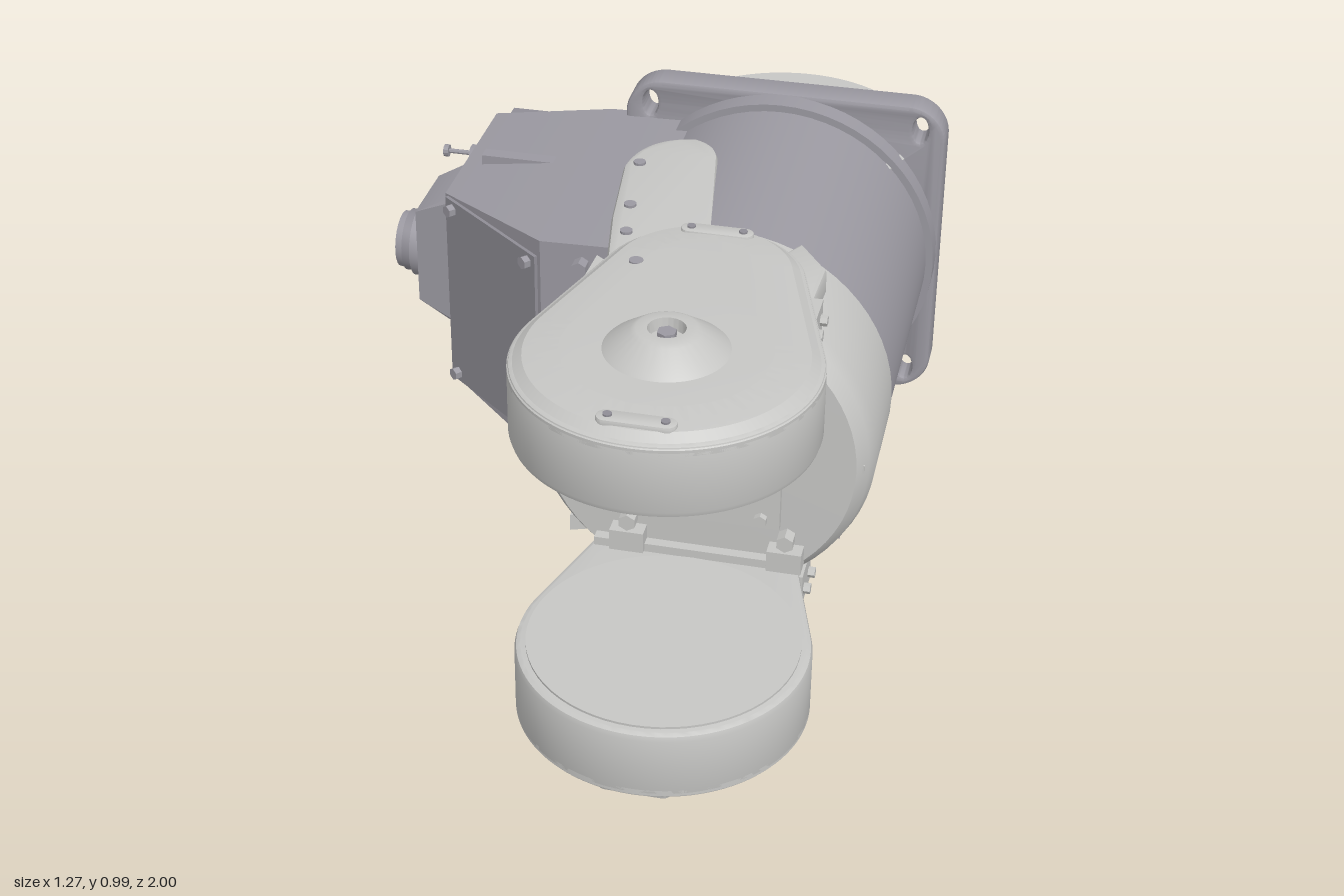
import * as THREE from 'three';
import { toCreasedNormals } from 'three/addons/utils/BufferGeometryUtils.js';
import { ConvexGeometry } from 'three/addons/geometries/ConvexGeometry.js';

const CX = 0.245, CY = 0.5; // axis of the main barrel

export function createModel() {
  const root = new THREE.Group();
  const mat = (name, color) => {
    const m = new THREE.MeshStandardMaterial({ color });
    m.name = name;
    return m;
  };
  const light = mat('light grey', 0xc6c6c4);
  const body = mat('mid grey', 0x9b99a1);
  const panel = mat('panel grey', 0x8f8d95);

  const add = (name, geo, m) => {
    const mesh = new THREE.Mesh(toCreasedNormals(geo, 0.5), m);
    mesh.name = name;
    root.add(mesh);
    return mesh;
  };
  const box = (name, m, w, h, d, x, y, z) =>
    add(name, new THREE.BoxGeometry(w, h, d).translate(x, y, z), m);
  // cylinder along an axis, r1 at the positive end
  const cyl = (name, m, axis, r1, r2, len, x, y, z, seg = 32) => {
    const g = new THREE.CylinderGeometry(r1, r2, len, seg);
    if (axis === 'z') g.rotateX(Math.PI / 2);
    if (axis === 'x') g.rotateZ(-Math.PI / 2);
    return add(name, g.translate(x, y, z), m);
  };
  // solid of revolution along z (or y), points are [radius, position]
  const lathe = (name, m, pts, x, y, z, alongY) => {
    const g = new THREE.LatheGeometry(pts.map(p => new THREE.Vector2(...p)), 64);
    if (!alongY) g.rotateX(Math.PI / 2);
    return add(name, g.translate(x, y, z), m);
  };
  // extrusion between two depths, with an inward bevel
  const extrude = (shape, a, b, size, thick) => {
    const lo = Math.min(a, b), hi = Math.max(a, b);
    return new THREE.ExtrudeGeometry(shape, {
      depth: hi - lo - 2 * thick, bevelEnabled: size > 0, bevelSize: size, bevelOffset: -size,
      bevelThickness: thick, bevelSegments: 2, curveSegments: 32,
    }).translate(0, 0, lo + thick);
  };
  // horizontal slab from an (x, z) outline
  const slab = (name, m, shape, ya, yb, size = 0, thick = 0) =>
    add(name, extrude(shape, -ya, -yb, size, thick).rotateX(Math.PI / 2), m);
  const poly = pts => new THREE.Shape(pts.map(p => new THREE.Vector2(...p)));
  const stadium = (x, z, w, r) => {
    const s = new THREE.Shape();
    s.absarc(x + w / 2 - r, z, r, -Math.PI / 2, Math.PI / 2);
    s.absarc(x - w / 2 + r, z, r, Math.PI / 2, Math.PI * 1.5);
    return s;
  };

  // main barrel: dark rear and light front
  lathe('barrel', body, [[0, -0.66], [0.365, -0.66], [0.365, 0.08], [0, 0.08]], CX, CY, 0);
  lathe('barrelFront', light,
    [[0, 0.07], [0.37, 0.07], [0.372, 0.31], [0.362, 0.345], [0.34, 0.375], [0, 0.38]], CX, CY, 0);
  cyl('flangeCollar', body, 'z', 0.382, 0.382, 0.08, CX, CY, -0.575, 64);

  // square mounting flange with slotted corners
  const flange = new THREE.Shape();
  const H = 0.385, R = 0.09, T = Math.PI / 2;
  for (let i = 0; i < 4; i++) {
    const sx = i === 0 || i === 3 ? 1 : -1, sy = i < 2 ? 1 : -1;
    flange.absarc(CX + sx * (H - R), CY + sy * (H - R), R, i * T, (i + 1) * T);
    const hole = new THREE.Path();
    hole.absellipse(CX + sx * 0.325, CY + sy * 0.325, 0.018, 0.032, 0, Math.PI * 2, true);
    flange.holes.push(hole);
  }
  add('flange', extrude(flange, -0.67, -0.59, 0.01, 0.01), body);
  cyl('rearNeck', body, 'z', 0.28, 0.28, 0.06, CX, CY, -0.68, 48);

  // rear rounded housing, with a wider band round its middle
  lathe('rearHousing', light,
    [[0, 0.245], [0.3, 0.245], [0.31, 0.255], [0.31, 0.75], [0.3, 0.76], [0, 0.76]], CX - 0.005, 0, -0.68, true);
  const bulge = new THREE.Shape();
  bulge.moveTo(0.45, -0.67);
  bulge.lineTo(-0.145, -0.67);
  bulge.bezierCurveTo(-0.145, -0.87, 0.0, -1, 0.22, -1);
  bulge.quadraticCurveTo(0.34, -1, 0.4, -0.95);
  slab('rearBulge', light, bulge, 0.3, 0.7, 0.03, 0.05);

  // pair of fork arms, mirrored about mid height
  const armOutline = new THREE.Shape();
  const tilt = Math.asin(0.095 / 0.33);
  armOutline.absarc(CX, 0.69, 0.308, -tilt, Math.PI + tilt);
  armOutline.absarc(CX, 0.36, 0.213, Math.PI + tilt, 2 * Math.PI - tilt);
  const tongue = new THREE.Shape();
  tongue.moveTo(0.03, 0.32);
  tongue.lineTo(-0.02, 0.05);
  tongue.lineTo(-0.05, -0.19);
  tongue.quadraticCurveTo(-0.04, -0.34, 0.08, -0.36);
  tongue.quadraticCurveTo(0.14, -0.34, 0.15, -0.27);
  tongue.lineTo(0.23, 0.2);
  tongue.lineTo(0.23, 0.32);
  for (const s of [1, -1]) {
    const Y = v => CY + s * (v - CY);
    const side = s > 0 ? 'upper' : 'lower';
    slab(side + 'Arm', light, armOutline, Y(0.76), Y(0.922), 0.012, 0.015);
    slab(side + 'ArmCrown', light, armOutline, Y(0.868), Y(0.945), 0.1, 0.032);
    cyl(side + 'ArmPad', light, 'y', 0.285, 0.285, 0.02, CX, Y(0.765), 0.69, 64);
    slab(side + 'ArmRoot', light, tongue, Y(0.74), Y(0.866), 0.015, 0.015);
    slab(side + 'ArmWing', light, poly([[0.32, 0.3], [0.33, 0.17], [0.4, 0.05], [0.47, 0.15], [0.465, 0.3]]),
      Y(0.75), Y(0.85), 0.01, 0.01);
    slab(side + 'ArmTab', light, poly([[-0.04, 0.1], [0.06, 0.18], [0.06, 0.28], [-0.05, 0.32]]), Y(0.75), Y(0.79));
    box(side + 'HingeBlock', light, 0.08, 0.08, 0.11, 0.445, Y(0.815), 0.34);
    box(side + 'HingeBar', light, 0.38, 0.02, 0.12, 0.215, Y(0.75), 0.34);
    for (const z of [0.31, 0.37]) cyl('hingeBolt', light, 'x', 0.012, 0.012, 0.02, 0.49, Y(0.82), z, 6);
    for (const z of [0.205, 0.945]) {
      slab(side + 'ArmHandle', light, stadium(CX, z, 0.155, 0.02), Y(0.92), Y(0.945), 0.004, 0.004);
      for (const x of [-0.055, 0.055]) cyl('handleScrew', panel, 'y', 0.009, 0.009, 0.008, CX + x, Y(0.945), z, 12);
    }
    cyl('armPlug', body, 'y', 0.015, 0.015, 0.008, 0.11, Y(0.942), 0.37, 16);
    for (const x of [-0.06, 0.06]) cyl('armEndScrew', panel, 'z', 0.009, 0.009, 0.01, CX + x, Y(0.845), 0.985, 12);
    for (const [x, z] of [[-0.015, -0.2], [0.01, 0], [0.03, 0.12]])
      cyl('rootScrew', body, 'y', 0.014, 0.014, 0.012, x, Y(0.866), z, 12);
  }
  lathe('armBoss', light, [[0.135, 0.935], [0.12, 0.95], [0.07, 0.985], [0.06, 0.99], [0.038, 0.99], [0.035, 0.965], [0, 0.965]],
    CX, 0, 0.69, true);
  cyl('bossBolt', body, 'y', 0.02, 0.02, 0.02, CX, 0.973, 0.69, 6);

  // front cover plate with screws and two small brackets
  box('frontCover', light, 0.35, 0.32, 0.02, 0.255, 0.5, 0.385);
  for (const x of [0.1, 0.39]) for (const y of [0.365, 0.635])
    cyl('coverScrew', light, 'z', 0.015, 0.015, 0.02, x, y, 0.4, 6);
  for (const x of [0.1, 0.445]) {
    box('frontBracket', light, 0.075, 0.05, 0.05, x, 0.27, 0.39);
    cyl('bracketBolt', light, 'z', 0.02, 0.02, 0.04, x, 0.315, 0.39, 6);
  }
  cyl('sidePlug', light, 'z', 0.017, 0.017, 0.03, 0.585, 0.5, 0.345, 6);

  // side junction box with a slanted front
  const hull = [];
  for (const [x, z, h] of [[-0.47, -0.61, 0.245], [-0.47, -0.18, 0.245], [-0.18, 0.06, 0.285],
    [-0.18, -0.62, 0.285], [0.05, -0.62, 0.29], [0.05, 0.06, 0.29]])
    for (const s of [1, -1]) hull.push(new THREE.Vector3(x, CY + s * h, z));
  add('junctionBox', new ConvexGeometry(hull), body);
  const slant = -Math.atan2(0.24, 0.29);
  const onSlant = (name, m, geo) => add(name, geo.rotateY(slant).translate(-0.325, CY, -0.06), m);
  onSlant('slantedCover', panel, new THREE.BoxGeometry(0.355, 0.485, 0.016));
  for (const x of [-0.15, 0.15]) for (const y of [-0.22, 0.22])
    onSlant('slantedCoverScrew', body, new THREE.CylinderGeometry(0.015, 0.015, 0.025, 6).rotateX(T).translate(x, y, 0.012));
  box('boxRearCover', panel, 0.28, 0.48, 0.05, -0.3, 0.5, -0.635);
  for (const x of [-0.42, -0.18]) for (const y of [0.28, 0.72])
    cyl('rearCoverScrew', body, 'z', 0.012, 0.012, 0.012, x, y, -0.662, 12);
  for (const y of [0.26, 0.74]) {
    cyl('boxFlangeBolt', body, 'z', 0.018, 0.018, 0.04, -0.085, y, 0.07, 6);
    box('boxRib', body, 0.25, 0.07, 0.035, -0.3, y, -0.345);
  }

  // main connector and small side fittings
  const plug = [];
  for (const [x, h, w] of [[-0.47, 0.17, 0.11], [-0.5, 0.165, 0.1], [-0.58, 0.12, 0.095]])
    for (const a of [1, -1]) for (const b of [1, -1])
      plug.push(new THREE.Vector3(x, 0.51 + a * h, -0.375 + b * w));
  add('connectorHousing', new ConvexGeometry(plug), body);
  cyl('connectorCollar', body, 'x', 0.085, 0.085, 0.03, -0.59, CY, -0.375);
  cyl('connectorRing', panel, 'x', 0.075, 0.075, 0.025, -0.615, CY, -0.375);
  cyl('connectorCap', body, 'x', 0.07, 0.068, 0.02, -0.635, CY, -0.375);
  [0.66, 0.57, 0.38].forEach((y, i) => {
    cyl('fittingBase', body, 'x', 0.028, 0.028, 0.03, -0.48, y, -0.55, 16);
    cyl('fittingNut', body, 'x', 0.022, 0.022, 0.03, -0.505, y, -0.55, 6);
    if (i === 2) return;
    cyl('fittingPin', body, 'x', 0.006, 0.006, 0.08, -0.545, y, -0.55, 8);
    cyl('fittingHead', body, 'x', 0.015, 0.015, 0.012, -0.582, y, -0.55, 12);
  });

  // curved cover under the barrel
  const under = new THREE.Shape();
  under.moveTo(-0.005, 0.25);
  under.lineTo(-0.005, 0.1);
  under.quadraticCurveTo(-0.005, 0.075, 0.02, 0.067);
  under.quadraticCurveTo(CX, -0.06, 0.47, 0.067);
  under.quadraticCurveTo(0.495, 0.075, 0.495, 0.1);
  under.lineTo(0.495, 0.25);
  add('underCover', extrude(under, -0.6, 0.05, 0.012, 0.02), body);
  box('underCoverStep', body, 0.44, 0.16, 0.06, CX, 0.13, -0.625);
  for (const x of [-0.005, 0.495]) for (const z of [-0.01, -0.33])
    box('underCoverLug', body, 0.03, 0.13, 0.035, x, 0.125, z);

  return root;
}
